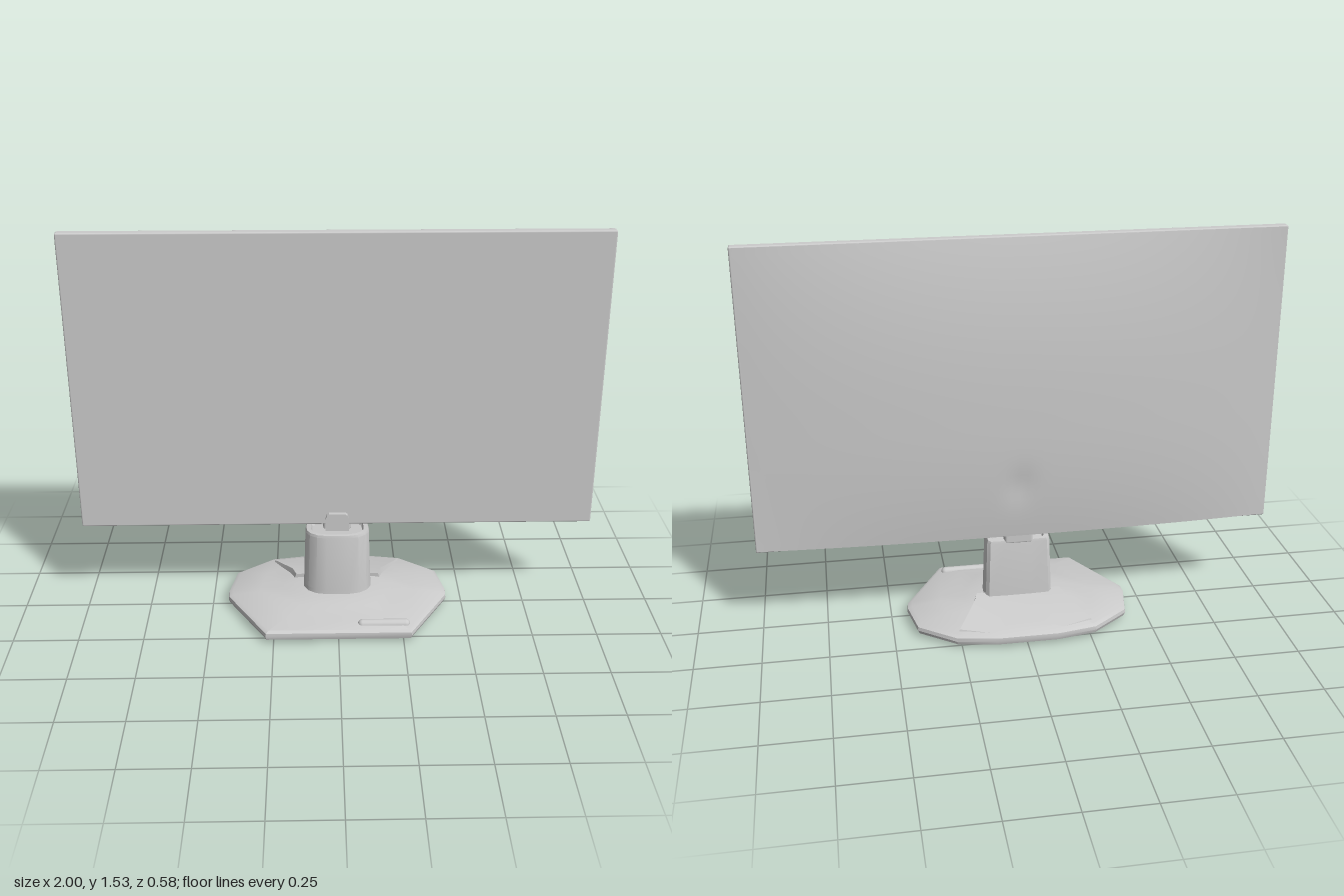
import * as THREE from 'three';
import { toCreasedNormals } from 'three/addons/utils/BufferGeometryUtils.js';
import { RoundedBoxGeometry } from 'three/addons/geometries/RoundedBoxGeometry.js';

const grey = new THREE.MeshStandardMaterial({ color: 0xcccccc });

function add(parent, name, geometry, x = 0, y = 0, z = 0) {
  const mesh = new THREE.Mesh(geometry, grey);
  mesh.name = name;
  mesh.position.set(x, y, z);
  parent.add(mesh);
  return mesh;
}

// Skin over rings of equal point count, listed bottom to top and capped at both ends.
// Points run from front left (+x, +z) towards the back, then round to the front right.
function loft(rings, crease = 0.6) {
  const n = rings[0].length, pos = [], idx = [];
  rings.forEach(r => r.forEach(p => pos.push(...p)));
  for (let k = 0; k < rings.length - 1; k++) {
    for (let i = 0; i < n; i++) {
      const a = k * n + i, b = k * n + (i + 1) % n;
      idx.push(a, b, b + n, a, b + n, a + n);
    }
  }
  [0, rings.length - 1].forEach(k => {
    const c = pos.length / 3;
    const mean = [0, 1, 2].map(j => rings[k].reduce((s, p) => s + p[j], 0) / n);
    pos.push(...mean);
    for (let i = 0; i < n; i++) {
      const a = k * n + i, b = k * n + (i + 1) % n;
      if (k) idx.push(a, b, c); else idx.push(b, a, c);
    }
  });
  const g = new THREE.BufferGeometry();
  g.setAttribute('position', new THREE.Float32BufferAttribute(pos, 3));
  g.setIndex(idx);
  return toCreasedNormals(g, crease);
}

// Complete a symmetric outline from its +x half, front to back
const mirror = half => [...half, ...half.slice().reverse().map(([x, z]) => [-x, z])];
const ring = (outline, s, y) => outline.map(([x, z]) => [x * s, y, z * s]);

function backShell() {
  const g = new THREE.BoxGeometry(1.985, 1.165, 0.02, 64, 44, 1);
  g.translate(0, 0.945, -0.052);
  const p = g.attributes.position;
  for (let i = 0; i < p.count; i++) {
    if (p.getZ(i) > -0.05) continue;
    const x = p.getX(i), y = p.getY(i);
    // Domed back, thicker at the bottom edge than at the top
    const across = 1 - Math.pow(Math.min(1, Math.abs(x)), 2.3);
    const up = y > 0.83 ? 1 - Math.pow((y - 0.83) / 0.7, 2.6) : 1 - 0.5 * Math.pow((0.83 - y) / 0.47, 2.2);
    // Shallow cable recess, low in the middle
    const dent = 0.008 * Math.exp(-((x / 0.05) ** 2) - (((y - 0.58) / 0.07) ** 2));
    p.setZ(i, -0.048 - 0.055 * across * Math.max(0, up) + dent);
  }
  g.computeVertexNormals();
  return g;
}

export function createModel() {
  const model = new THREE.Group();

  // Screen
  const screen = new THREE.Group();
  screen.name = 'screen';
  model.add(screen);
  add(screen, 'screenPanel', new RoundedBoxGeometry(2, 1.175, 0.037, 2, 0.006), 0, 0.944, -0.029);
  add(screen, 'screenBack', backShell());

  // Stand base: faceted plate rising towards the column
  const plate = mirror([[0.28, 0.288], [0.435, 0.02], [0.438, -0.02], [0.41, -0.165], [0.27, -0.27], [0.12, -0.296]]);
  const profile = [[0.93, 0.01], [0.985, 0.018], [1, 0.032], [0.995, 0.046], [0.96, 0.054], [0.7, 0.069], [0.5, 0.082], [0.36, 0.093]];
  const stand = new THREE.Group();
  stand.name = 'stand';
  model.add(stand);
  add(stand, 'base', loft(profile.map(([s, y]) => ring(plate, s, y)), 0.5));

  // Raised wedge on the base behind the column
  const wedge = [[0.165, -0.05, 0.108], [0.18, -0.1, 0.104], [0.255, -0.235, 0.064], [0.12, -0.272, 0.055]];
  const wedgeFull = [...wedge, ...wedge.slice().reverse().map(([x, z, y]) => [-x, z, y])];
  add(stand, 'baseWedge', loft([
    wedgeFull.map(([x, z, y]) => [x * 1.06, y - 0.03, z * 1.03]),
    wedgeFull.map(([x, z, y]) => [x, y, z]),
  ], 0.4));

  // Power button strip on the front edge of the base
  const button = add(stand, 'buttonStrip', new THREE.CapsuleGeometry(0.018, 0.165, 6, 16), 0.175, 0.056, 0.238);
  button.rotation.z = Math.PI / 2;

  // Feet under the base
  for (const [x, z] of [[-0.23, 0.2], [0.23, 0.2], [0, 0.13], [-0.23, -0.16], [0.23, -0.16], [0, -0.2]]) {
    add(stand, 'foot', new THREE.CylinderGeometry(0.055, 0.04, 0.012, 24), x, 0.009, z);
  }

  // Column: rounded front, flat back, slight taper, recessed top
  const section = mirror([
    [0.045, 0.081], [0.085, 0.072], [0.115, 0.05], [0.131, 0.02], [0.133, -0.02], [0.13, -0.06], [0.118, -0.074], [0.05, -0.076],
  ]);
  const columnRing = (s, y, tilt) => section.map(([x, z]) => [x * s, y + tilt * z, z * s]);
  add(stand, 'column', loft([
    columnRing(1.03, 0.07, 0), columnRing(1, 0.11, 0), columnRing(0.94, 0.335, 0.07), columnRing(0.91, 0.345, 0.07),
    columnRing(0.78, 0.346, 0.07), columnRing(0.74, 0.334, 0.07),
  ], 0.45));

  // Neck joining column and screen, with the tapered tab in front of it
  add(stand, 'neck', new RoundedBoxGeometry(0.11, 0.05, 0.055, 2, 0.01), 0, 0.35, -0.045);
  const tab = mirror([[0.046, 0.006], [0.046, -0.02]]);
  const tabRing = (s, y) => tab.map(([x, z]) => [x * s, y, z]);
  add(stand, 'frontTab', loft([tabRing(1, 0.325), tabRing(1, 0.385), tabRing(0.88, 0.402), tabRing(0.7, 0.408)], 0.4));

  return model;
}
